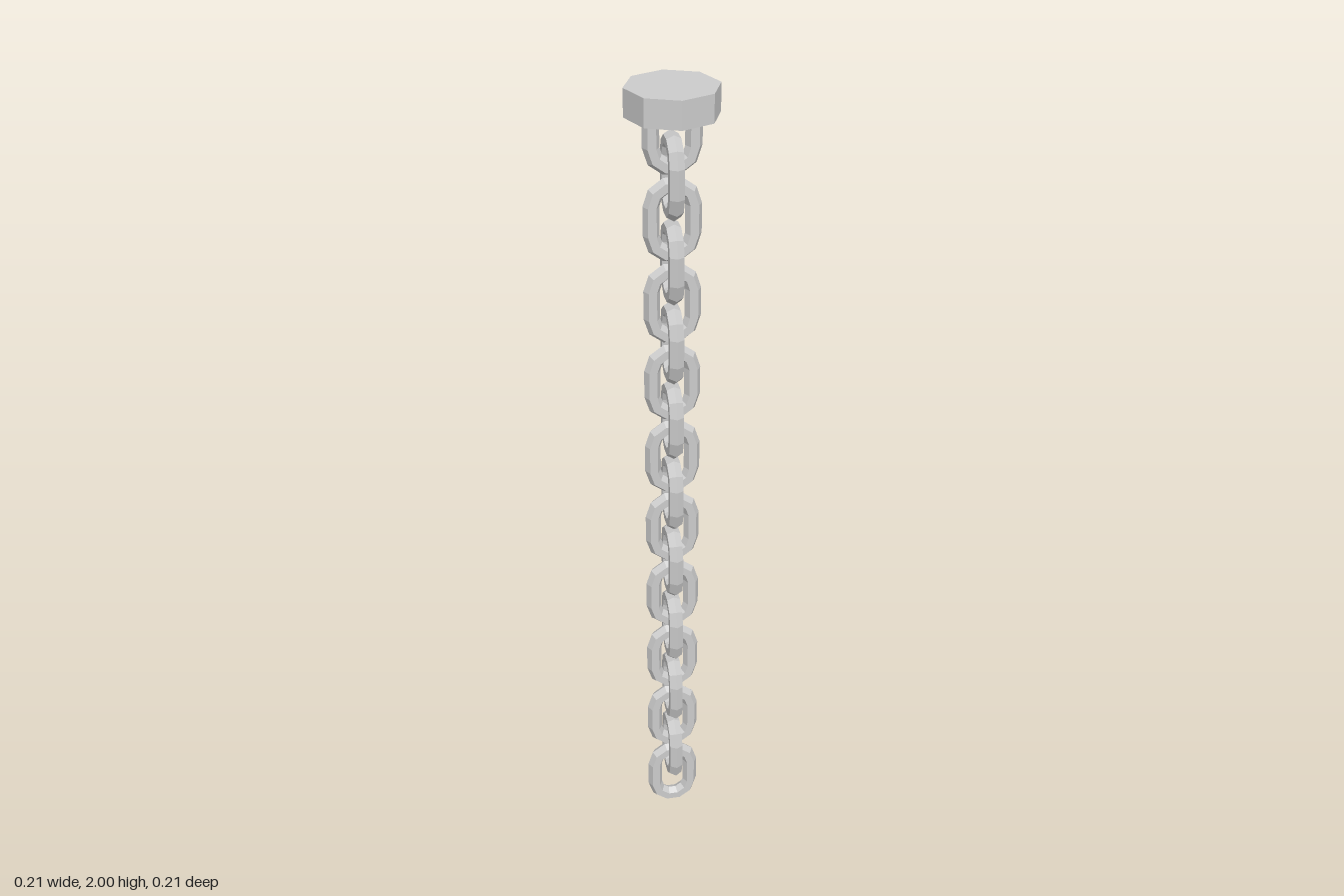
import * as THREE from 'three';

const BAR = 0.019;      // bar radius
const BEND = 0.047;     // bend radius at the bar's centre line
const STRAIGHT = 0.034; // half length of the straight sides
const ARC = 5;          // segments in each half bend
const SIDES = 6;

// Hexagonal ring split into two half bends joined by straight sides
function linkGeometry() {
  const rings = 2 * (ARC + 1);
  const geo = new THREE.TorusGeometry(BEND, BAR, SIDES, rings);
  const pos = geo.attributes.position;
  for (let i = 0; i <= SIDES; i++) {
    const v = (i / SIDES) * Math.PI * 2;
    const radius = BEND + BAR * Math.cos(v);
    for (let j = 0; j <= rings; j++) {
      const k = j % rings;
      const upper = k <= ARC;
      const a = (upper ? k / ARC : 1 + (k - ARC - 1) / ARC) * Math.PI;
      pos.setXYZ(
        i * (rings + 1) + j,
        radius * Math.cos(a),
        radius * Math.sin(a) + (upper ? STRAIGHT : -STRAIGHT),
        BAR * Math.sin(v)
      );
    }
  }
  geo.computeVertexNormals();
  return geo;
}

export function createModel() {
  const model = new THREE.Group();
  const material = new THREE.MeshStandardMaterial({ color: 0xcccccc, flatShading: true });

  // Octagonal ceiling mount
  const mount = new THREE.Mesh(new THREE.CylinderGeometry(0.105, 0.105, 0.063, 8), material);
  mount.name = 'mount';
  mount.position.y = 2 - 0.063 / 2;
  model.add(mount);

  // Chain: alternate links turn a quarter, the top one is sunk into the mount
  const chain = new THREE.Group();
  chain.name = 'chain';
  const geo = linkGeometry();
  const first = 0.097, last = 1.902, count = 19;
  for (let i = 0; i < count; i++) {
    const link = new THREE.Mesh(geo, material);
    link.name = 'link' + (i + 1);
    link.position.y = first + ((last - first) * i) / (count - 1);
    link.rotation.y = i % 2 ? Math.PI / 2 : 0;
    chain.add(link);
  }
  model.add(chain);
  return model;
}
